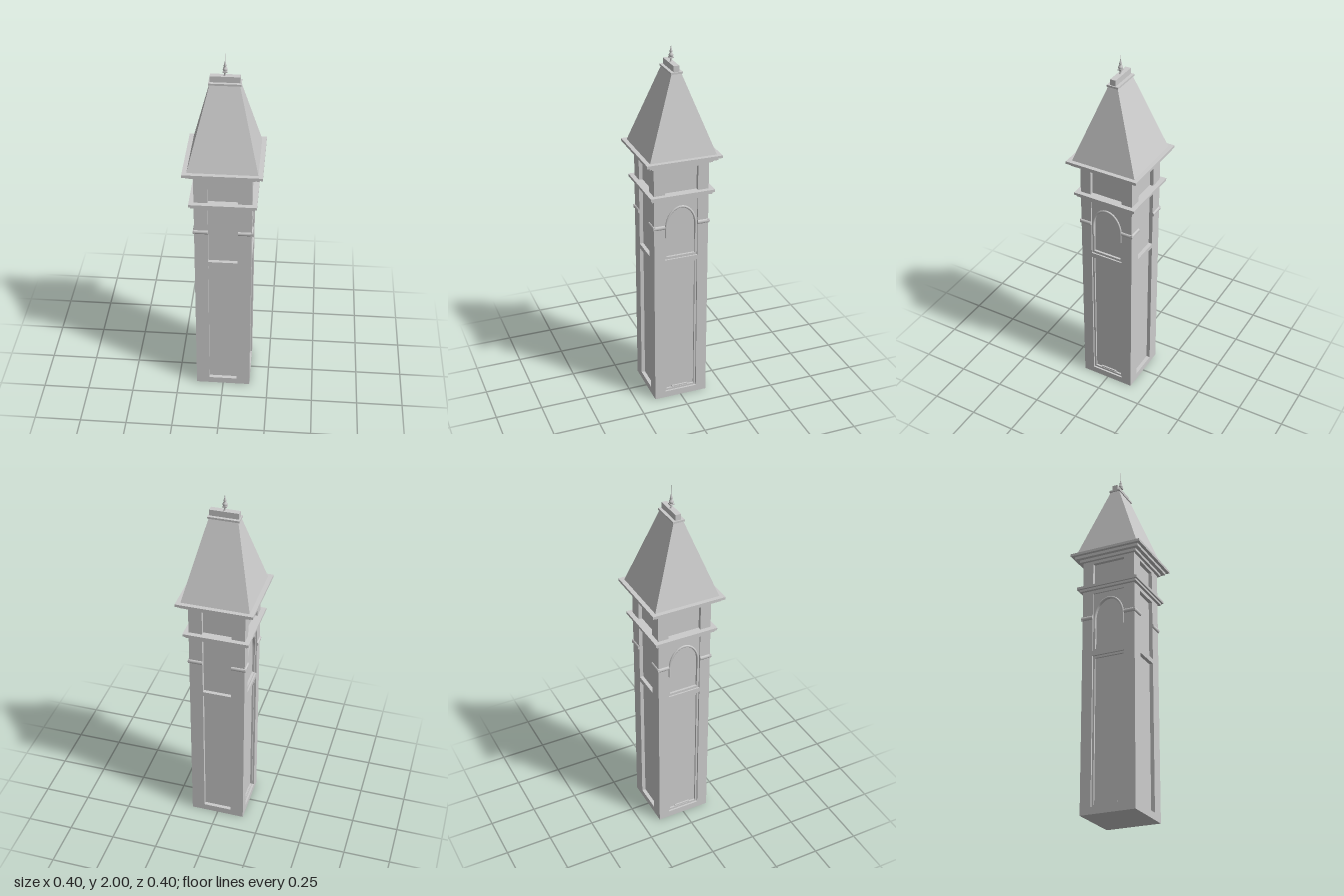
import * as THREE from 'three';

const material = new THREE.MeshStandardMaterial({ color: 0xcccccc });
const HALF = 0.148;   // half width of the shaft
const CORE = 0.128;   // half width behind the recessed panels
const TOP = 1.373;    // top of the shaft

function add(parent, name, geometry, x = 0, y = 0, z = 0) {
  const mesh = new THREE.Mesh(geometry, material);
  mesh.name = name;
  mesh.position.set(x, y, z);
  parent.add(mesh);
  return mesh;
}

// Box given by half sizes in x and z and its bottom and top heights
function slab(parent, name, hx, hz, y0, y1, x = 0, z = 0) {
  return add(parent, name, new THREE.BoxGeometry(hx * 2, y1 - y0, hz * 2), x, (y0 + y1) / 2, z);
}

function rect(path, hw, y0, y1) {
  path.moveTo(-hw, y0);
  path.lineTo(hw, y0);
  path.lineTo(hw, y1);
  path.lineTo(-hw, y1);
  path.closePath();
  return path;
}

function archHole(hw, y0, spring, top) {
  const p = new THREE.Path();
  p.moveTo(-hw, y0);
  p.lineTo(hw, y0);
  p.lineTo(hw, spring);
  p.absellipse(0, spring, hw, top - spring, 0, Math.PI, false);
  p.closePath();
  return p;
}

function plate(outline, holes, depth) {
  outline.holes.push(...holes);
  return new THREE.ExtrudeGeometry(outline, { depth, bevelEnabled: false, curveSegments: 20 });
}

// Wall skin with panel openings, mitred at the corners
function wall(parent, panelHalf) {
  const panels = [[0.037, 0.827], [0.853, 1.18], [1.224, 1.358]];
  const g = plate(rect(new THREE.Shape(), HALF, 0, TOP),
    panels.map(([a, b]) => rect(new THREE.Path(), panelHalf, a, b)), HALF - CORE);
  const p = g.attributes.position;
  for (let i = 0; i < p.count; i++) {
    if (p.getZ(i) < 0.001 && Math.abs(p.getX(i)) > CORE) p.setX(i, Math.sign(p.getX(i)) * CORE);
  }
  g.computeVertexNormals();
  add(parent, 'panelledWall', g, 0, 0, CORE);
}

// Rounded impost strips crossing the two pilasters of a face
function imposts(parent, panelHalf) {
  const outer = HALF + 0.006;
  for (const s of [-1, 1]) {
    const g = new THREE.CylinderGeometry(0.011, 0.011, outer - panelHalf, 12);
    g.rotateZ(Math.PI / 2);
    g.scale(1, 1, 0.65);
    add(parent, 'impost', g, s * (outer + panelHalf) / 2, 1.043, HALF);
  }
}

// Arched opening, hood moulding and door frame of the two side faces
function archedFace(parent) {
  const arch = plate(rect(new THREE.Shape(), 0.09, 0.853, 1.18),
    [archHole(0.078, 0.866, 1.03, 1.142)], 0.012);
  add(parent, 'archPlate', arch, 0, 0, CORE);

  const points = [new THREE.Vector3(0.081, 0.98, 0), new THREE.Vector3(0.081, 1.005, 0)];
  for (let i = 0; i <= 16; i++) {
    const a = Math.PI * i / 16;
    points.push(new THREE.Vector3(0.081 * Math.cos(a), 1.03 + 0.114 * Math.sin(a), 0));
  }
  points.push(new THREE.Vector3(-0.081, 1.005, 0), new THREE.Vector3(-0.081, 0.98, 0));
  const hood = new THREE.TubeGeometry(new THREE.CatmullRomCurve3(points), 56, 0.006, 8);
  add(parent, 'archMoulding', hood, 0, 0, CORE + 0.013);

  const frame = plate(rect(new THREE.Shape(), 0.09, 0.037, 0.827),
    [rect(new THREE.Path(), 0.08, 0.048, 0.816)], 0.01);
  add(parent, 'panelFrame', frame, 0, 0, CORE);
  slab(parent, 'threshold', 0.045, 0.004, 0.048, 0.056, 0, CORE + 0.004);
}

// Four-sided roof: a box whose top corners are drawn inward
function roofGeometry(base, topX, topZ, height) {
  const g = new THREE.BoxGeometry(base * 2, height, base * 2);
  const p = g.attributes.position;
  for (let i = 0; i < p.count; i++) {
    if (p.getY(i) > 0) {
      p.setX(i, Math.sign(p.getX(i)) * topX);
      p.setZ(i, Math.sign(p.getZ(i)) * topZ);
    }
  }
  g.computeVertexNormals();
  return g;
}

export function createModel() {
  const model = new THREE.Group();
  model.name = 'tower';

  // Shaft
  slab(model, 'shaftCore', CORE, CORE, 0, TOP);
  for (let i = 0; i < 4; i++) {
    const face = new THREE.Group();
    const side = i % 2 === 1;
    const panelHalf = side ? 0.09 : 0.077;
    face.name = side ? 'sideFace' : (i === 0 ? 'frontFace' : 'backFace');
    face.rotation.y = i * Math.PI / 2;
    wall(face, panelHalf);
    imposts(face, panelHalf);
    if (side) archedFace(face);
    model.add(face);
  }

  // Stepped string course and eaves
  for (const [name, half, y0, y1] of [
    ['stringCourseLower', 0.163, 1.198, 1.21],
    ['stringCourseUpper', 0.173, 1.21, 1.224],
    ['eavesLower', 0.163, 1.373, 1.388],
    ['eavesMiddle', 0.183, 1.388, 1.403],
    ['eavesUpper', 0.2, 1.403, 1.417],
  ]) slab(model, name, half, half, y0, y1);

  // Roof and ridge
  add(model, 'roof', roofGeometry(0.177, 0.074, 0.026, 0.408), 0, 1.417 + 0.204, 0);
  slab(model, 'ridgePlate', 0.08, 0.031, 1.825, 1.835);
  slab(model, 'ridgeCap', 0.074, 0.015, 1.835, 1.866);

  // Finial, drawn out to a fine needle
  slab(model, 'finialBlock', 0.011, 0.011, 1.885, 1.891);
  const profile = [
    [0.009, 1.866], [0.005, 1.87], [0.004, 1.885], [0.009, 1.891], [0.012, 1.899],
    [0.01, 1.907], [0.004, 1.912], [0.008, 1.917], [0.006, 1.924], [0.003, 1.935],
    [0.001, 1.947], [0, 2],
  ].map(([r, y]) => new THREE.Vector2(r, y));
  add(model, 'finial', new THREE.LatheGeometry(profile, 16));

  return model;
}
